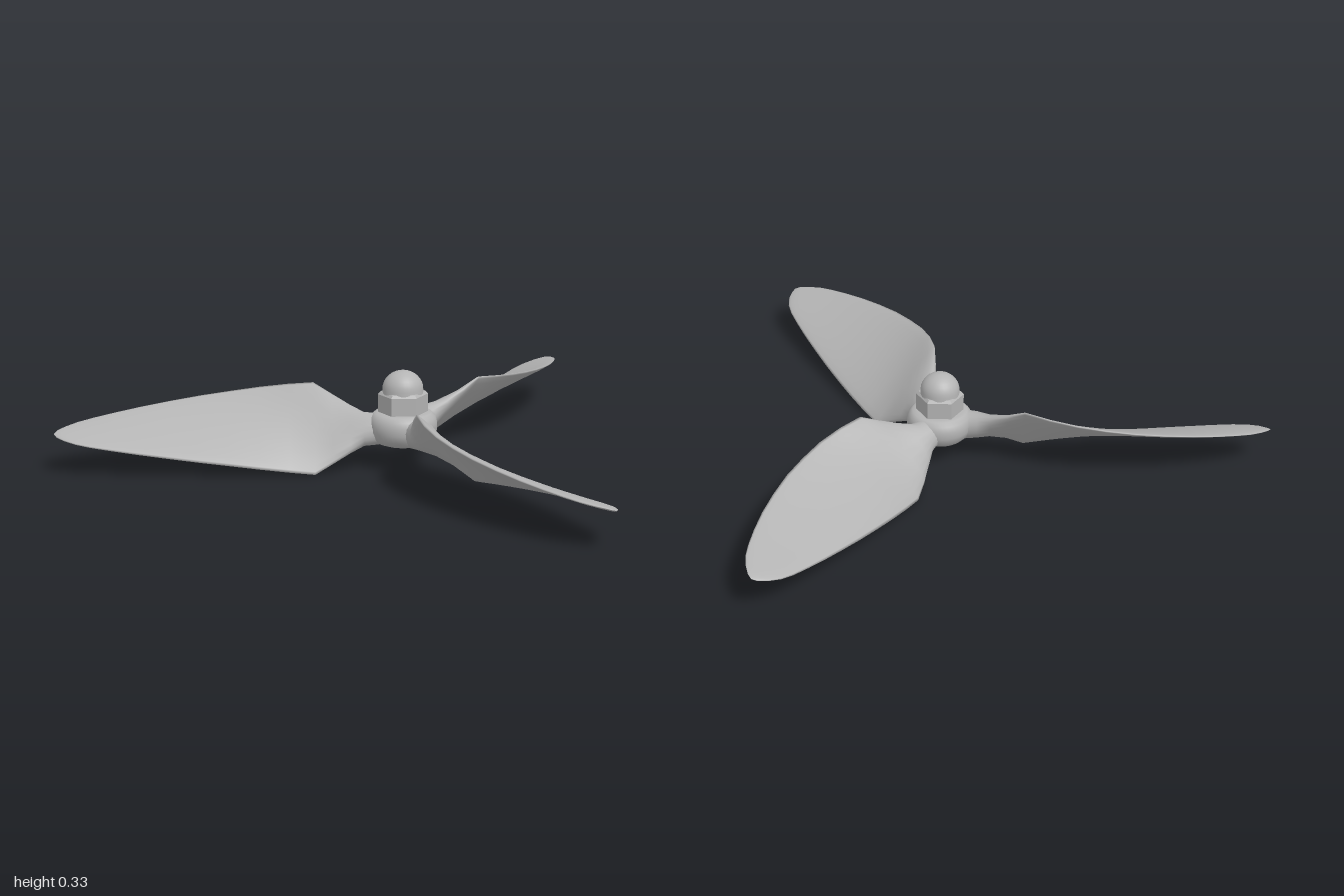
import * as THREE from 'three';
import { toCreasedNormals } from 'three/addons/utils/BufferGeometryUtils.js';

const HUB_Z = 0.275;   // propeller axis
const MID_Y = 0.131;   // height of the blade axis
const SIDES = 20;

// Blade stations: radius, trailing x, leading x, half rise, half thickness
const STATIONS = [
  [0.08, -0.038, 0.038, 0.036, 0.052],
  [0.13, -0.045, 0.05, 0.04, 0.046],
  [0.175, -0.062, 0.078, 0.063, 0.034],
  [0.235, -0.082, 0.112, 0.096, 0.022],
  [0.295, -0.095, 0.14, 0.129, 0.014],
  [0.38, -0.102, 0.168, 0.118, 0.013],
  [0.475, -0.106, 0.186, 0.105, 0.012],
  [0.575, -0.107, 0.19, 0.091, 0.012],
  [0.675, -0.105, 0.186, 0.078, 0.011],
  [0.78, -0.1, 0.17, 0.064, 0.011],
  [0.875, -0.094, 0.149, 0.051, 0.01],
  [0.96, -0.086, 0.123, 0.039, 0.009],
  [1.03, -0.077, 0.097, 0.029, 0.008],
  [1.08, -0.064, 0.074, 0.021, 0.007],
  [1.12, -0.042, 0.045, 0.013, 0.006],
  [1.145, -0.018, 0.02, 0.007, 0.004],
  [1.155, 0, 0.001, 0.0005, 0.0005],
];

// Loft elliptical sections along -z, pitched so the leading edge is high
function bladeGeometry() {
  const positions = [], index = [];
  STATIONS.forEach(([r, lo, hi, hy, t], i) => {
    const cx = (lo + hi) / 2, hx = (hi - lo) / 2, len = Math.hypot(hx, hy);
    for (let j = 0; j < SIDES; j++) {
      const a = (j / SIDES) * Math.PI * 2;
      const c = Math.cos(a), s = (Math.sin(a) * t) / len;
      positions.push(cx + c * hx - s * hy, MID_Y + c * hy + s * hx, -r);
      if (i === 0) continue;
      const k = (j + 1) % SIDES, p = (i - 1) * SIDES, q = i * SIDES;
      index.push(p + j, q + j, p + k, p + k, q + j, q + k);
    }
  });
  const g = new THREE.BufferGeometry();
  g.setAttribute('position', new THREE.Float32BufferAttribute(positions, 3));
  g.setIndex(index);
  g.computeVertexNormals();
  return g;
}

const lathe = (pts, n) =>
  new THREE.LatheGeometry(pts.map(([x, y]) => new THREE.Vector2(x, y)), n);

export function createModel() {
  const model = new THREE.Group();
  model.name = 'propeller';
  const metal = new THREE.MeshStandardMaterial({ color: 0xb4b4b4 });
  metal.name = 'grey metal';

  const rotor = new THREE.Group();
  rotor.name = 'rotor';
  rotor.position.z = HUB_Z;
  model.add(rotor);

  const add = (name, geometry) => {
    const mesh = new THREE.Mesh(geometry, metal);
    mesh.name = name;
    rotor.add(mesh);
    return mesh;
  };

  // Three identical blades
  const blade = bladeGeometry();
  for (let i = 0; i < 3; i++) add('blade' + (i + 1), blade).rotation.y = (i * Math.PI * 2) / 3;

  // Rounded hub with a shaft bore underneath
  const hub = lathe([
    [0.033, 0.19], [0.033, 0.08], [0.066, 0.08], [0.088, 0.088], [0.105, 0.105],
    [0.114, 0.13], [0.114, 0.155], [0.108, 0.175], [0.095, 0.188], [0.08, 0.19], [0.033, 0.19],
  ], 40);
  add('hub', toCreasedNormals(hub, 0.8));

  // Hexagonal nut with a chamfered top
  const nut = lathe([[0, 0.19], [0.083, 0.19], [0.083, 0.25], [0.074, 0.26], [0, 0.26]], 6);
  add('nut', toCreasedNormals(nut, 0.3));

  // Acorn dome on the nut
  const profile = [[0.069, 0.25], [0.068, 0.268]];
  for (let i = 1; i <= 8; i++) {
    const a = (i / 8) * Math.PI / 2;
    profile.push([0.068 * Math.cos(a), 0.268 + 0.062 * Math.sin(a)]);
  }
  add('nutDome', lathe(profile, 32));

  return model;
}
